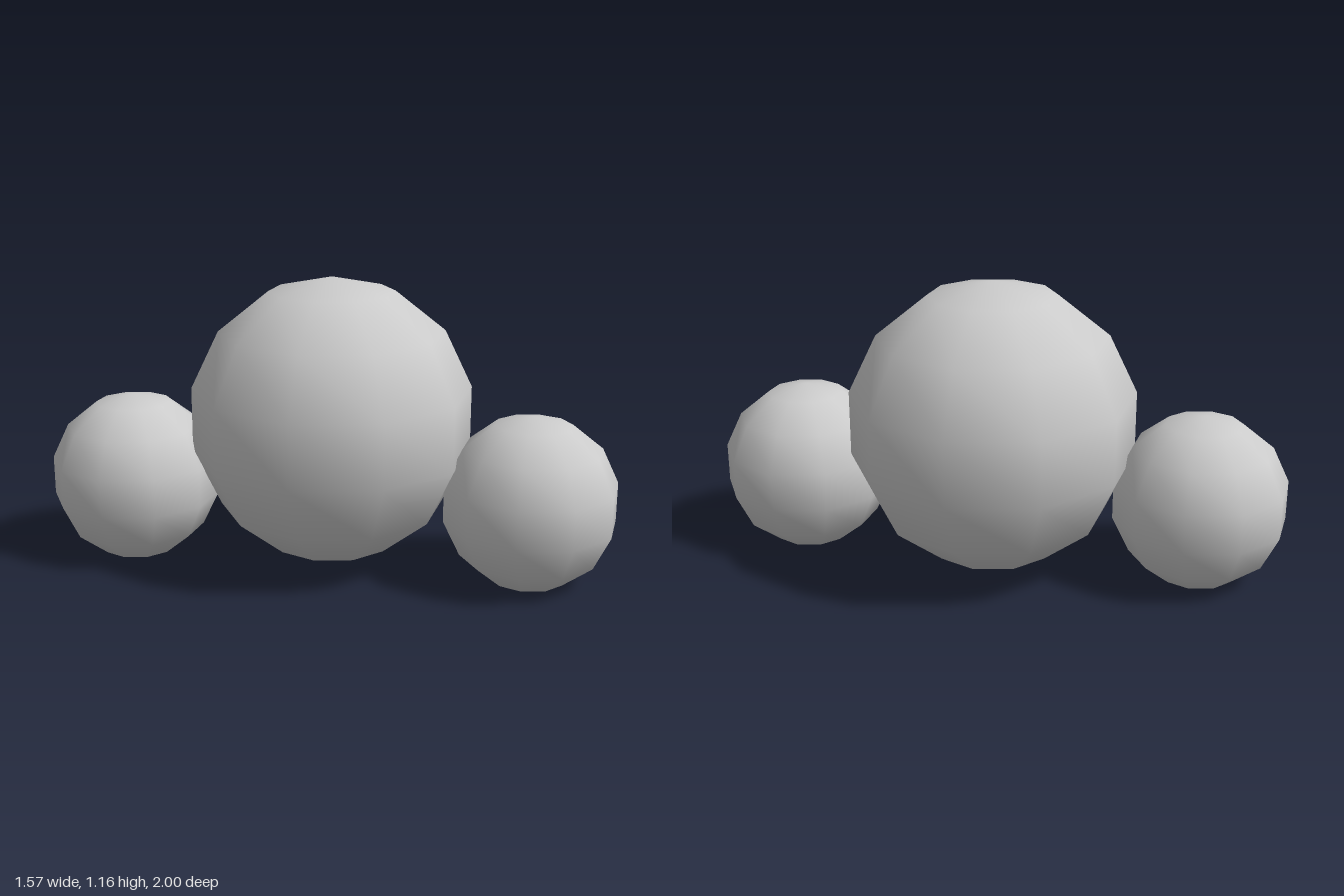
import * as THREE from 'three';

const material = new THREE.MeshStandardMaterial({ color: 0xcccccc, side: THREE.DoubleSide });

// Low-poly ball of 10 by 7 segments, left open below its lowest ring
function ball(name, radius, x, y, z) {
  const geometry = new THREE.SphereGeometry(radius, 10, 6, 0, Math.PI * 2, 0, Math.PI * 6 / 7);
  const mesh = new THREE.Mesh(geometry, material);
  mesh.name = name;
  mesh.position.set(x, y, z);
  mesh.rotation.y = -0.108;
  return mesh;
}

export function createModel() {
  const group = new THREE.Group();
  group.name = 'ballCluster';

  // Large middle ball, slightly off centre and raised
  group.add(ball('middleBall', 0.572, 0.06, 0.583, -0.036));

  // Two small balls at opposite corners, resting on the ground
  for (const [name, side] of [['frontBall', 1], ['backBall', -1]]) {
    group.add(ball(name, 0.347, side * 0.451, 0.3126, side * 0.669));
  }
  return group;
}
